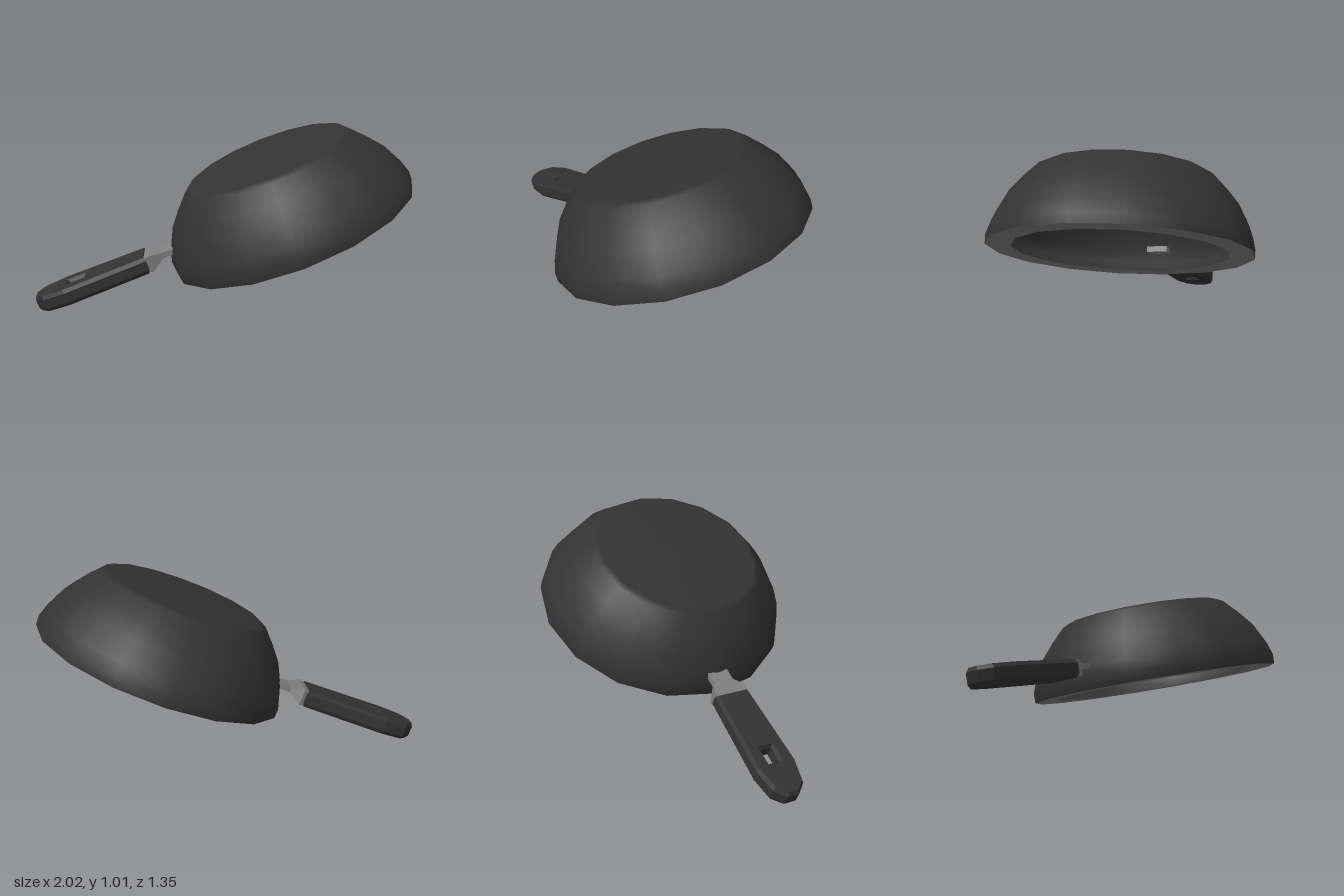
import * as THREE from 'three';

const SIDES = 16;

export function createModel() {
  const dark = new THREE.MeshStandardMaterial({ color: 0x333333 });
  dark.name = 'dark coating';
  const metal = new THREE.MeshStandardMaterial({ color: 0x808080 });
  metal.name = 'bare metal';

  const model = new THREE.Group();
  model.name = 'fryingPan';
  // Everything is built upright around the rim centre, then tipped as a whole
  const pan = new THREE.Group();
  pan.name = 'tiltedPan';
  model.add(pan);

  const add = (name, geometry, material) => {
    const mesh = new THREE.Mesh(geometry, material);
    mesh.name = name;
    pan.add(mesh);
    return mesh;
  };
  const lathe = (points) =>
    new THREE.LatheGeometry(points.map(([r, h]) => new THREE.Vector2(r, h)), SIDES);

  // Upside-down bowl: outer shell, inner shell and flat lip
  add('outerBowl', lathe([
    [0.676, 0], [0.678, 0.05], [0.655, 0.12], [0.6, 0.23],
    [0.535, 0.31], [0.46, 0.39], [0.43, 0.406], [0, 0.41],
  ]), dark);
  add('innerBowl', lathe([
    [0, 0.385], [0.42, 0.38], [0.51, 0.3], [0.575, 0.22],
    [0.63, 0.12], [0.635, 0.06], [0.55, 0],
  ]), dark);
  const lip = new THREE.RingGeometry(0.55, 0.676, SIDES, 1);
  lip.rotateX(Math.PI / 2);
  add('rimLip', lip, metal);

  // Handle grip with chamfered edges and a hanging hole
  const half = [[-0.79, 0.096], [-1.265, 0.114], [-1.39, 0.088], [-1.442, 0.032]];
  const outline = [...half, ...half.slice().reverse().map(([u, w]) => [u, -w])];
  const toVectors = (list) => list.map(([x, y]) => new THREE.Vector2(x, y));
  const grip = new THREE.Shape(toVectors(outline));
  grip.holes.push(new THREE.Path(toVectors([
    [-1.243, -0.032], [-1.157, -0.032], [-1.157, 0.032], [-1.243, 0.032],
  ])));
  const gripGeometry = new THREE.ExtrudeGeometry(grip, {
    depth: 0.054, bevelEnabled: true, bevelSegments: 1,
    bevelThickness: 0.02, bevelSize: 0.012, bevelOffset: -0.012,
  });
  gripGeometry.rotateX(-Math.PI / 2);
  gripGeometry.translate(0, 0.083, 0);
  add('handle', gripGeometry, dark);

  // Metal neck: rectangular sections tapering to a tab through the wall
  // Each section is [distance along, half width, low, high]
  const sections = [
    [-0.81, 0.085, 0.072, 0.15],
    [-0.772, 0.094, 0.066, 0.156],
    [-0.705, 0.057, 0.106, 0.137],
    [-0.55, 0.057, 0.106, 0.137],
  ];
  const box = new THREE.BoxGeometry(1, 1, 1, sections.length - 1, 1, 1);
  const pos = box.attributes.position;
  for (let i = 0; i < pos.count; i++) {
    const [u, w, low, high] = sections[Math.round((pos.getX(i) + 0.5) * (sections.length - 1))];
    pos.setXYZ(i, u, pos.getY(i) > 0 ? high : low, Math.sign(pos.getZ(i)) * w);
  }
  const neck = box.toNonIndexed();
  neck.computeVertexNormals();
  add('neck', neck, metal);

  // Lean the pan on its handle end and rim
  const up = new THREE.Vector3(-0.402, 1, 0.077).normalize();
  const along = new THREE.Vector3(1, 0.399, 0.04).normalize();
  const side = new THREE.Vector3().crossVectors(along, up).normalize();
  along.crossVectors(up, side);
  pan.quaternion.setFromRotationMatrix(new THREE.Matrix4().makeBasis(along, up, side));
  pan.position.set(0.3725, 0.473, -0.005);

  return model;
}
